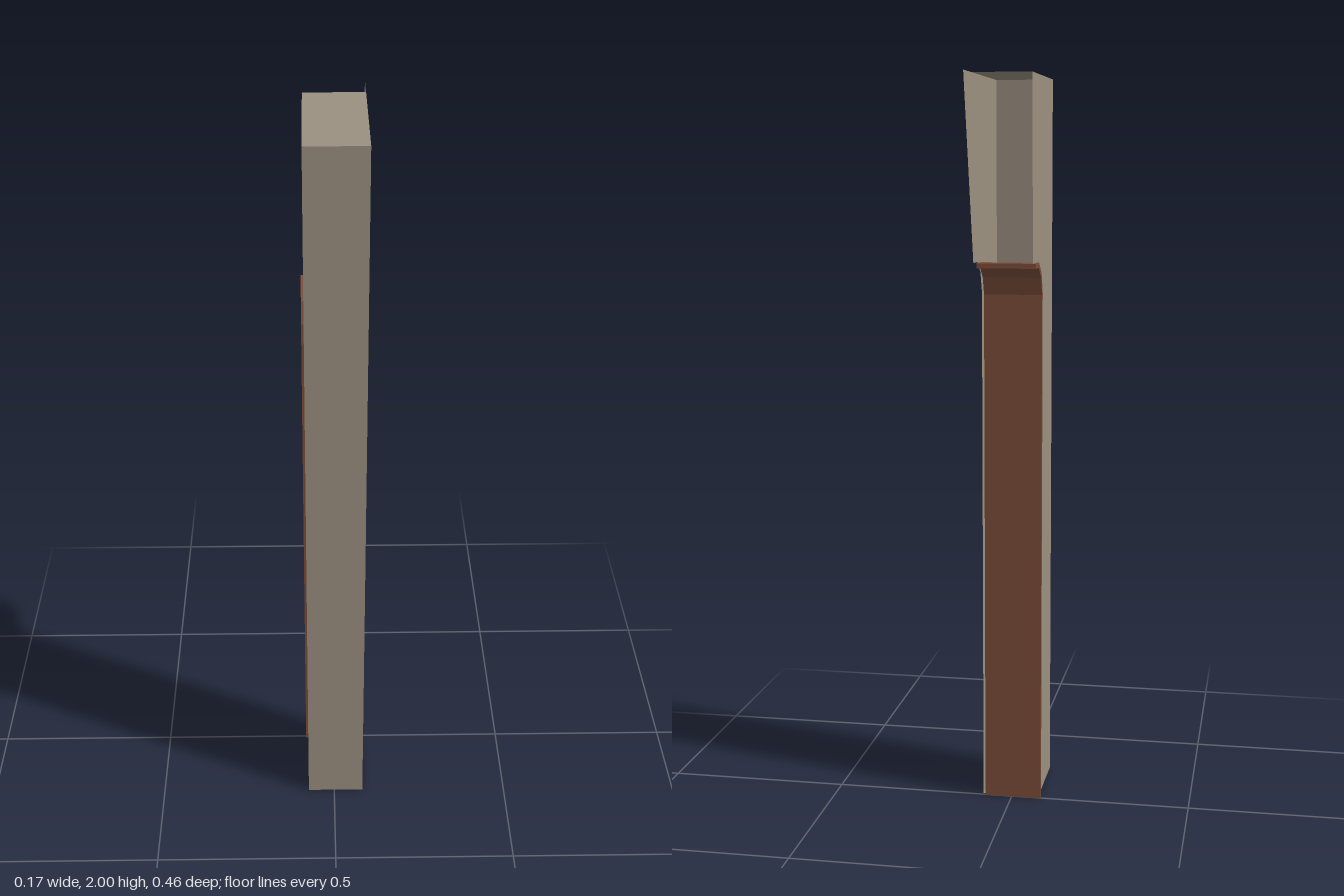
import * as THREE from 'three';

const LEFT = 0.083, RIGHT = -0.075, FRONT = 0.232, TOP = 2;

// Curve where the post steps back into the head, as [z, y]
const ARCH = [[0.008, 0], [0.008, 1.43], [-0.013, 1.485], [-0.057, 1.514], [-0.11, 1.514]];
// Same curve moved outwards by the thickness of the lining
const ARCH_OUTER = [[-0.004, 0], [-0.004, 1.425], [-0.022, 1.472], [-0.06, 1.501], [-0.11, 1.501]];

// Profiles are drawn in [z, y]; turning by 90 degrees maps shape x to -z and depth to x
const profile = (points) => new THREE.Shape(points.map(([z, y]) => new THREE.Vector2(-z, y)));

export function createModel() {
  const group = new THREE.Group();
  const stone = new THREE.MeshStandardMaterial({ color: 0x9b9080, side: THREE.DoubleSide, flatShading: true });
  const brown = new THREE.MeshStandardMaterial({ color: 0x7c4e3b, side: THREE.DoubleSide, flatShading: true });

  const add = (name, geometry, material, x = 0, y = 0, z = 0) => {
    const mesh = new THREE.Mesh(geometry, material);
    mesh.name = name;
    mesh.position.set(x, y, z);
    group.add(mesh);
  };

  // Side panels: the left one flares out to the back, the right one stays upright
  const sides = [['leftPanel', LEFT, -0.23], ['rightPanel', RIGHT, -0.127]];
  for (const [name, x, backZ] of sides) {
    const shape = profile([[FRONT, 0], ...ARCH, [backZ, TOP], [FRONT, TOP]]);
    add(name, new THREE.ShapeGeometry(shape).rotateY(Math.PI / 2), stone, x);
  }

  // Front, top and bottom panels; the back of the head is left open
  const width = LEFT - RIGHT, midX = (LEFT + RIGHT) / 2;
  add('frontPanel', new THREE.PlaneGeometry(width, TOP), stone, midX, TOP / 2, FRONT);
  const caps = [['topPanel', TOP, -0.127, -1], ['bottomPanel', 0, 0.008, 1]];
  for (const [name, y, backZ, turn] of caps) {
    const cap = new THREE.PlaneGeometry(width, FRONT - backZ).rotateX(turn * Math.PI / 2);
    add(name, cap, stone, midX, y, (FRONT + backZ) / 2);
  }

  // Brown lining up the back and under the head, set slightly to the right
  const strip = profile([...ARCH, ...[...ARCH_OUTER].reverse()]);
  const lining = new THREE.ExtrudeGeometry(strip, { depth: width, bevelEnabled: false });
  add('backLining', lining.rotateY(Math.PI / 2), brown, -LEFT);

  return group;
}
